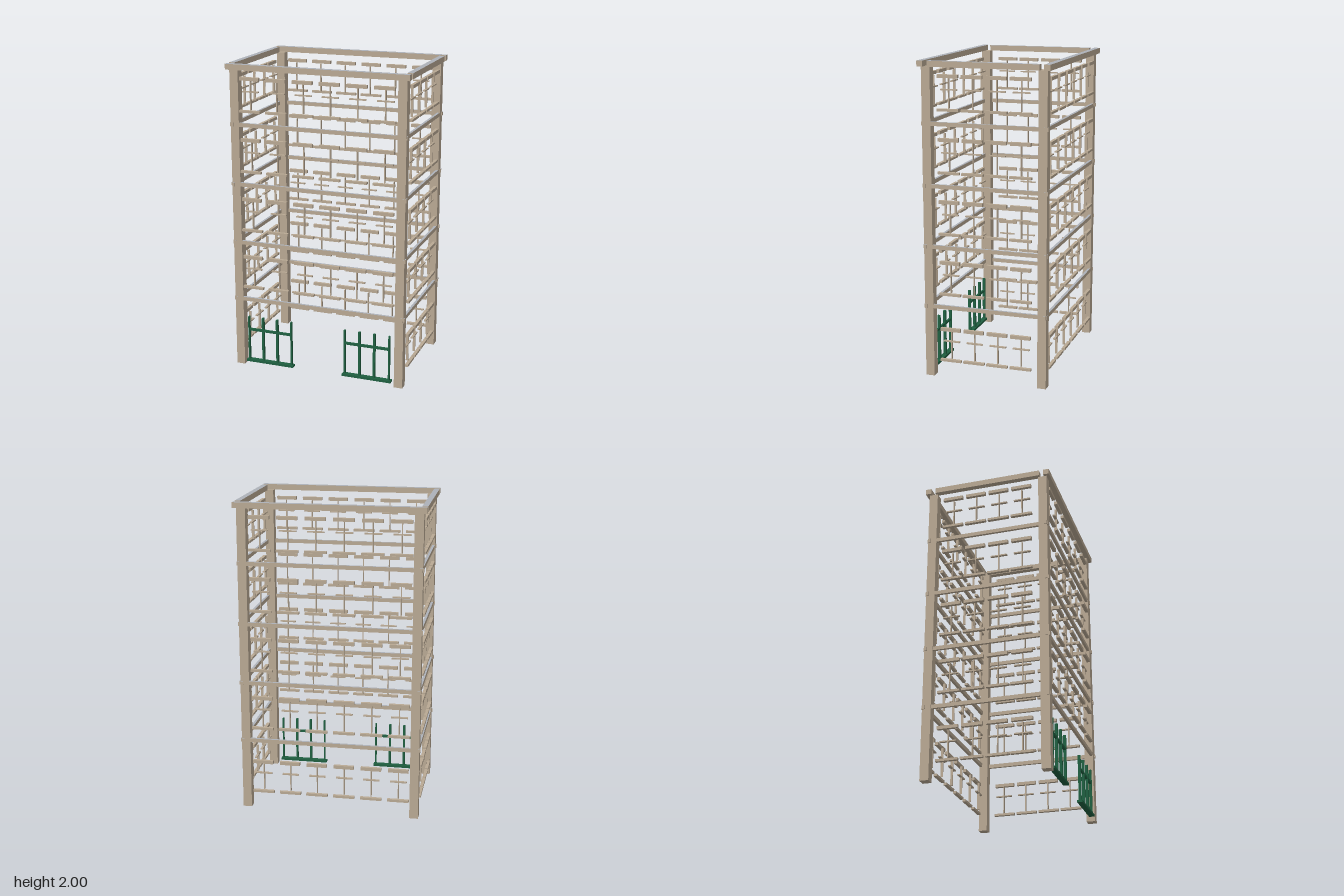
import * as THREE from 'three';

export function createModel() {
  const model = new THREE.Group();
  model.name = 'buildingFrame';

  const stone = new THREE.MeshStandardMaterial({ color: 0xb8a893 });
  stone.name = 'tan stone';
  const cap = new THREE.MeshStandardMaterial({ color: 0xadb1b8 });
  cap.name = 'grey capping';
  const green = new THREE.MeshStandardMaterial({ color: 0x1f5f40 });
  green.name = 'gate green';
  const capped = [stone, stone, cap, stone, stone, stone]; // grey on the top face only

  // Box given by its lower and upper limits on each axis
  function box(parent, name, mat, [x0, x1], [y0, y1], [z0, z1]) {
    const mesh = new THREE.Mesh(new THREE.BoxGeometry(x1 - x0, y1 - y0, z1 - z0), mat);
    mesh.position.set((x0 + x1) / 2, (y0 + y1) / 2, (z0 + z1) / 2);
    mesh.name = name;
    parent.add(mesh);
    return mesh;
  }
  // Range of depths from the centre, on the positive or negative side
  const side = (s, a, b) => (s > 0 ? [a, b] : [-b, -a]);

  // Corner posts
  for (const sx of [-1, 1]) {
    for (const sz of [-1, 1]) {
      box(model, 'cornerPost', stone, side(sx, 0.517, 0.573), [0, 1.965], side(sz, 0.341, 0.397));
    }
  }

  // Parapet beams around the top
  for (const s of [-1, 1]) {
    box(model, 'longParapet', capped, [-0.593, 0.593], [1.964, 2], side(s, 0.38, 0.417));
    box(model, 'shortParapet', capped, side(s, 0.557, 0.593), [1.964, 2], [-0.352, 0.352]);
  }

  // Floor bands, their ends poking just past the posts
  for (let i = 0; i < 4; i++) {
    const y = [0.449 + i * 0.3855, 0.474 + i * 0.3855];
    for (const s of [-1, 1]) {
      box(model, 'longFloorBand', capped, [-0.579, 0.579], y, side(s, 0.378, 0.395));
      box(model, 'shortFloorBand', capped, side(s, 0.555, 0.571), y, [-0.402, 0.402]);
    }
  }

  // One window: lintel, sill and cross bars, facing +z with the wall plane at z = 0
  function windowUnit() {
    const g = new THREE.Group();
    g.name = 'window';
    box(g, 'sill', stone, [-0.069, 0.069], [0, 0.015], [0, 0.021]);
    box(g, 'lintel', stone, [-0.065, 0.065], [0.201, 0.222], [0, 0.021]);
    box(g, 'mullion', stone, [-0.003, 0.003], [0.015, 0.201], [-0.014, 0.002]);
    box(g, 'transom', stone, [-0.053, 0.053], [0.125, 0.133], [-0.014, 0.002]);
    return g;
  }

  // Four walls of windows; the ground floor of the front stays open for the gates
  const walls = [
    { name: 'frontWindows', turn: 0, depth: 0.38, count: 6, step: 0.1753, shift: -0.004, ground: false },
    { name: 'backWindows', turn: Math.PI, depth: 0.38, count: 6, step: 0.1753, shift: 0.004, ground: true },
    { name: 'leftWindows', turn: Math.PI / 2, depth: 0.558, count: 4, step: 0.153, shift: 0.002, ground: true },
    { name: 'rightWindows', turn: -Math.PI / 2, depth: 0.558, count: 4, step: 0.153, shift: -0.002, ground: true },
  ];
  for (const w of walls) {
    const wall = new THREE.Group();
    wall.name = w.name;
    wall.rotation.y = w.turn;
    const rows = [0.54, 0.926, 1.312, 1.698];
    if (w.ground) rows.unshift(0.106);
    for (const y of rows) {
      for (let i = 0; i < w.count; i++) {
        const unit = windowUnit();
        unit.position.set((i - (w.count - 1) / 2) * w.step + w.shift, y, w.depth);
        wall.add(unit);
      }
    }
    model.add(wall);
  }

  // Pair of green gates at the front
  for (const cx of [-0.336, 0.331]) {
    const gate = new THREE.Group();
    gate.name = 'gate';
    gate.position.x = cx;
    box(gate, 'bottomRail', green, [-0.164, 0.164], [0.024, 0.039], [0.366, 0.4]);
    box(gate, 'crossRail', green, [-0.15, 0.15], [0.241, 0.256], [0.376, 0.39]);
    for (let i = 0; i < 4; i++) {
      const x = (i - 1.5) * 0.0995;
      const r = i === 0 || i === 3 ? 0.005 : 0.007;
      box(gate, 'upright', green, [x - r, x + r], [0.036, 0.338], [0.374, 0.392]);
    }
    model.add(gate);
  }

  return model;
}
